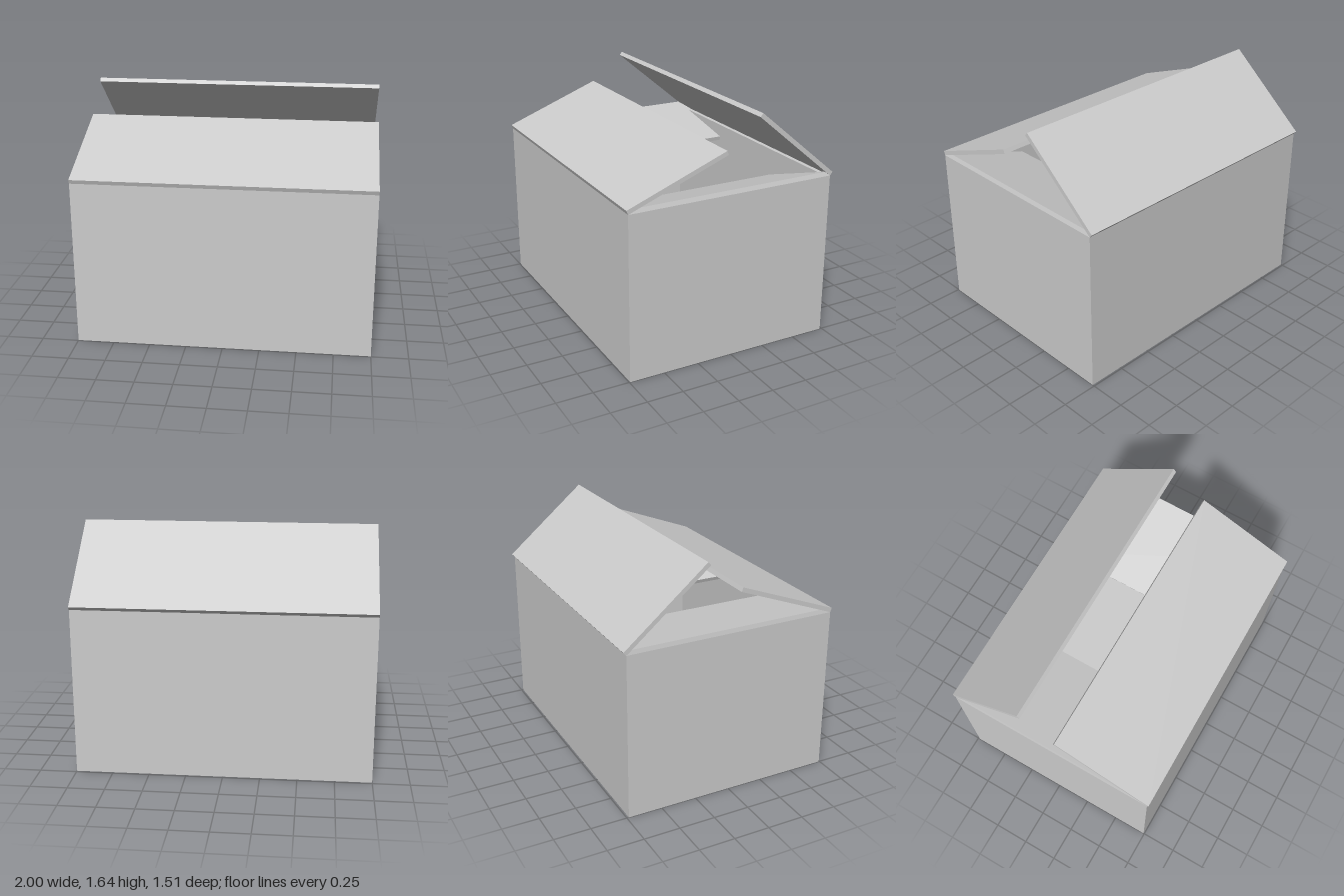
import * as THREE from 'three';

export function createModel() {
  const W = 2, H = 1.14, D = 1.48, T = 0.03;
  const cardboard = new THREE.MeshStandardMaterial({ color: 0xcccccc });
  cardboard.name = 'light grey cardboard';

  const model = new THREE.Group();
  model.name = 'openBox';
  const box = new THREE.Group();
  box.name = 'box';
  box.position.z = 0.004; // balances the differently tilted flaps
  model.add(box);

  const add = (parent, name, geometry) => {
    const mesh = new THREE.Mesh(geometry, cardboard);
    mesh.name = name;
    parent.add(mesh);
    return mesh;
  };

  // Four walls as one extruded ring
  const rectangle = (w, d) => [[-1, -1], [1, -1], [1, 1], [-1, 1]]
    .map(([x, y]) => new THREE.Vector2(x * w / 2, y * d / 2));
  const ring = new THREE.Shape(rectangle(W, D));
  ring.holes.push(new THREE.Path(rectangle(W - 2 * T, D - 2 * T).reverse()));
  add(box, 'walls', new THREE.ExtrudeGeometry(ring, { depth: H, bevelEnabled: false }).rotateX(-Math.PI / 2));

  // Floor
  add(box, 'floor', new THREE.BoxGeometry(W - 2 * T, T, D - 2 * T).translate(0, T / 2, 0));

  // Flaps hinge on their lower outer edge; positive tilt lifts the free edge
  const flap = (name, facing, distance, width, length, tilt) => {
    const side = new THREE.Group();
    side.name = name + 'Hinge';
    side.rotation.y = facing;
    box.add(side);
    const mesh = add(side, name, new THREE.BoxGeometry(width, T, length).translate(0, T / 2, -length / 2));
    mesh.position.set(0, H, distance);
    mesh.rotation.x = THREE.MathUtils.degToRad(tilt);
  };
  flap('frontFlap', 0, D / 2, W, 0.74, 21);
  flap('backFlap', Math.PI, D / 2, W, 0.74, 40);
  flap('leftInnerFlap', Math.PI / 2, W / 2, D - 0.01, 0.67, -19);
  flap('rightInnerFlap', -Math.PI / 2, W / 2, D - 0.01, 0.67, -10.5);

  return model;
}
